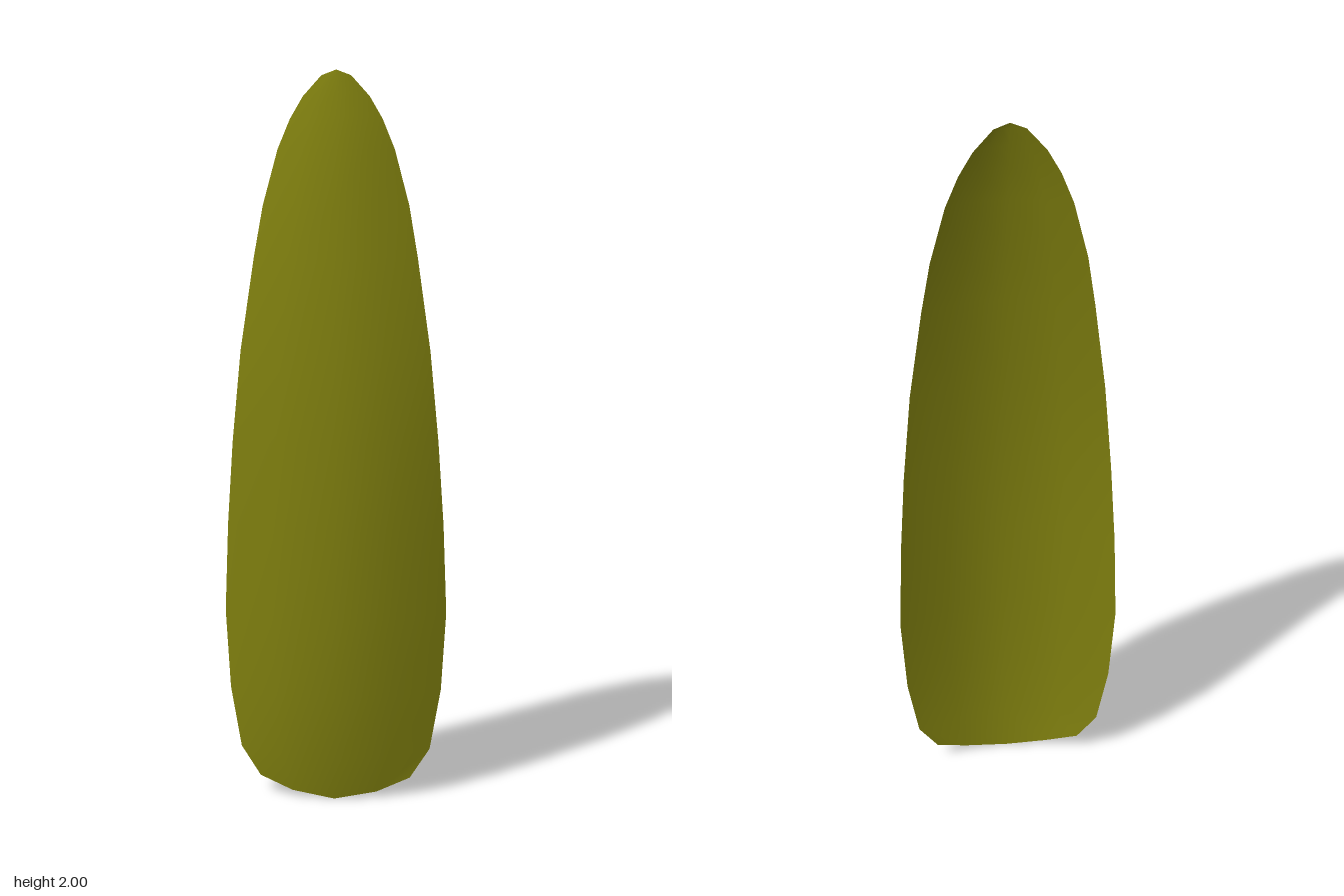
import * as THREE from 'three';

// Cross-sections from base to tip: half width, edge y, edge z, middle y, middle z
const ROWS = [
  [0.21, 0.05, -0.02, 0.0, 0.022],
  [0.265, 0.13, -0.035, 0.12, 0.042],
  [0.295, 0.3, -0.042, 0.3, 0.062],
  [0.308, 0.52, -0.045, 0.52, 0.071],
  [0.298, 0.77, -0.037, 0.77, 0.072],
  [0.282, 1.0, -0.027, 1.0, 0.065],
  [0.258, 1.25, -0.026, 1.25, 0.049],
  [0.222, 1.5, -0.042, 1.5, 0.021],
  [0.198, 1.64, -0.056, 1.64, 0.003],
  [0.158, 1.79, -0.066, 1.79, -0.02],
  [0.125, 1.87, -0.071, 1.88, -0.04],
  [0.09, 1.93, -0.073, 1.94, -0.054],
  [0.04, 1.985, -0.072, 1.985, -0.066],
  [0, 2, -0.071, 2, -0.071],
];

// Position across the blade, from right edge to left edge
const ACROSS = [-1, -0.56, 0, 0.56, 1];

function createBlade() {
  const positions = [];
  const indices = [];
  const n = ACROSS.length;

  // Each row bows forward in the middle
  ROWS.forEach(([halfWidth, edgeY, edgeZ, midY, midZ]) => {
    ACROSS.forEach((u) => {
      const bow = Math.pow(Math.abs(u), 1.8);
      positions.push(
        u * halfWidth,
        THREE.MathUtils.lerp(midY, edgeY, bow),
        THREE.MathUtils.lerp(midZ, edgeZ, bow),
      );
    });
  });

  // Join neighbouring rows, the last one closing to the tip
  for (let r = 0; r < ROWS.length - 1; r++) {
    for (let c = 0; c < n - 1; c++) {
      const a = r * n + c;
      const b = a + 1;
      indices.push(a, b, b + n);
      if (r < ROWS.length - 2) indices.push(a, b + n, a + n);
      else indices.push(a, b + n, a + n);
    }
  }

  const geometry = new THREE.BufferGeometry();
  geometry.setAttribute('position', new THREE.Float32BufferAttribute(positions, 3));
  geometry.setIndex(indices);
  geometry.computeVertexNormals();
  return geometry;
}

export function createModel() {
  const group = new THREE.Group();
  group.name = 'leaf';
  const material = new THREE.MeshStandardMaterial({ color: 0x80800f, side: THREE.DoubleSide });
  const blade = new THREE.Mesh(createBlade(), material);
  blade.name = 'leafBlade';
  group.add(blade);
  return group;
}
